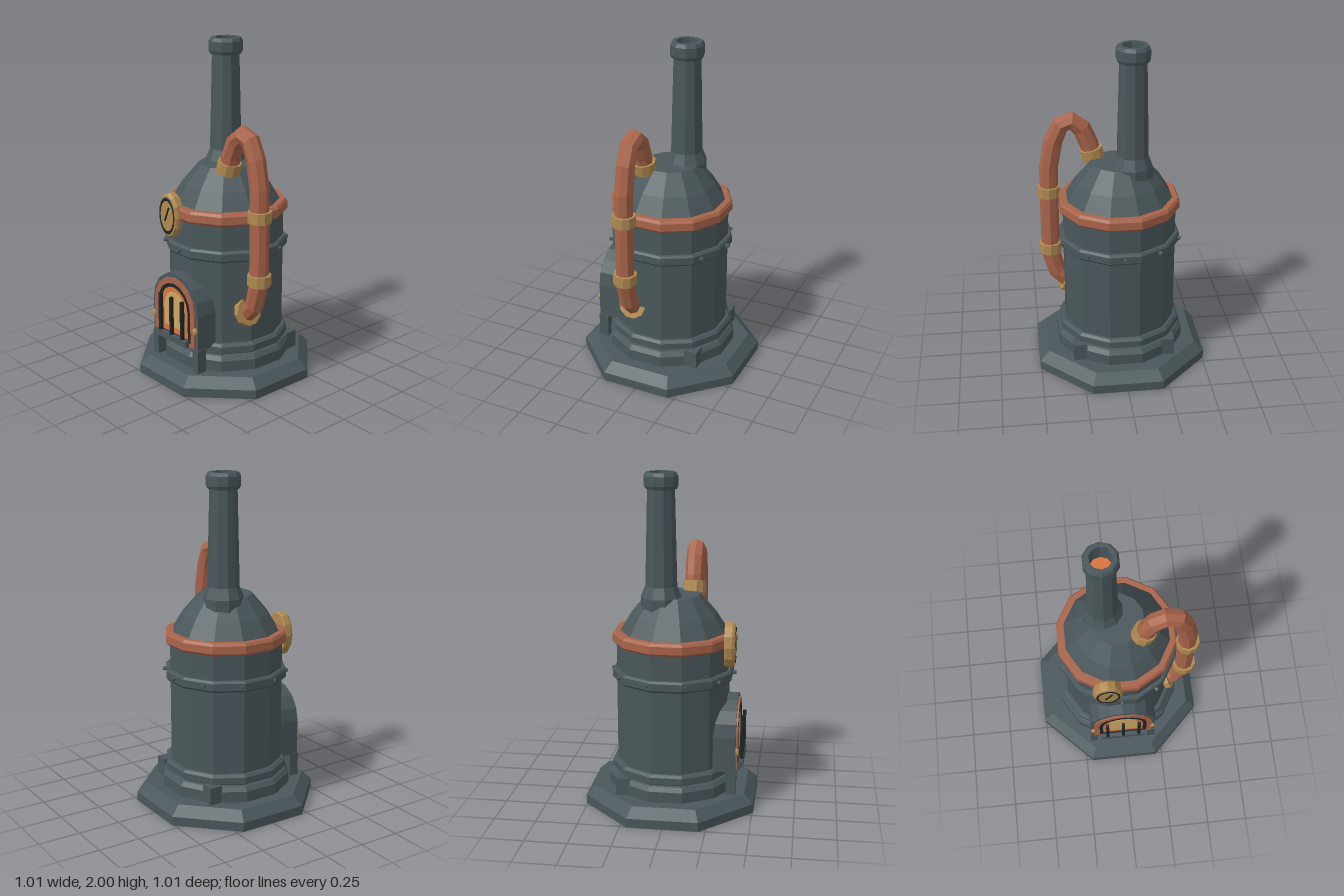
import * as THREE from 'three';

const mat = (name, color) => {
  const m = new THREE.MeshStandardMaterial({ color, flatShading: true });
  m.name = name;
  return m;
};

export function createModel() {
  const iron = mat('iron', 0x4a575b);
  const black = mat('black iron', 0x1d2628);
  const copper = mat('copper', 0xa9644a);
  const brass = mat('brass', 0xb08a50);
  const ember = mat('ember orange', 0xd8743e);
  const pale = mat('pale glow', 0xcfa866);

  const root = new THREE.Group();
  root.name = 'boilerStove';
  const add = (name, geo, material, x = 0, y = 0, z = 0, parent = root) => {
    const m = new THREE.Mesh(geo, material);
    m.name = name;
    m.position.set(x, y, z);
    parent.add(m);
    return m;
  };
  const box = (w, h, d) => new THREE.BoxGeometry(w, h, d);

  // Faceted turned shape, radii measured to the middle of the flats, flats facing the axes
  const turned = (pts, sides) => {
    const k = 1 / Math.cos(Math.PI / sides);
    return new THREE.LatheGeometry(pts.map(([r, y]) => new THREE.Vector2(r * k, y)), sides, Math.PI / sides);
  };

  // Octagonal base and stepped boiler
  add('base', turned([[0, 0], [0.507, 0], [0.507, 0.055], [0.45, 0.11], [0, 0.11]], 8), iron);
  add('plinth', turned([[0.38, 0.1], [0.38, 0.175], [0.36, 0.2], [0.345, 0.205], [0.36, 0.215],
    [0.36, 0.255], [0.345, 0.27], [0.32, 0.27]], 12), iron);
  add('boilerBody', turned([[0.33, 0.2], [0.33, 1.02]], 12), iron);
  add('boilerBand', turned([[0.325, 0.775], [0.345, 0.775], [0.355, 0.787], [0.355, 0.83], [0.345, 0.842], [0.325, 0.842]], 12), iron);
  add('copperRing', turned([[0.32, 0.992], [0.342, 0.992], [0.353, 1.005], [0.353, 1.05], [0.342, 1.066], [0.3, 1.066]], 12), copper);
  add('dome', turned([[0.315, 1.055], [0.25, 1.165], [0.155, 1.28], [0, 1.28]], 12), iron);

  // Rivets around the band
  for (let i = 0; i < 10; i++) {
    const a = i * Math.PI / 5;
    const rivet = add('rivet', new THREE.CylinderGeometry(0.011, 0.014, 0.03, 6), iron,
      Math.sin(a) * 0.362, 0.81, Math.cos(a) * 0.362);
    rivet.rotation.set(Math.PI / 2, 0, -a);
  }

  // Back feet
  for (const s of [-1, 1]) add('backFoot', box(0.08, 0.11, 0.08), iron, s * 0.265, 0.16, -0.265);

  // Chimney with hollow cap
  const chimney = new THREE.Group();
  chimney.name = 'chimney';
  chimney.position.set(-0.075, 0, -0.063);
  root.add(chimney);
  const round = (pts) => new THREE.LatheGeometry(pts.map((p) => new THREE.Vector2(...p)), 10);
  add('chimneyShaft', round([[0.12, 1.12], [0.12, 1.28], [0.094, 1.345], [0.08, 1.92]]), iron, 0, 0, 0, chimney);
  add('chimneyCap', round([[0.078, 1.905], [0.09, 1.905], [0.1, 1.925], [0.1, 1.98], [0.088, 2],
    [0.063, 2], [0.063, 1.87]]), iron, 0, 0, 0, chimney);
  add('chimneyGlow', new THREE.CylinderGeometry(0.066, 0.066, 0.008, 10), ember, 0, 1.872, 0, chimney);

  // Bent steam pipe, with one ring of facets at each listed point
  const path = [[0.14, 1.26], [0.165, 1.36], [0.205, 1.455], [0.265, 1.505], [0.33, 1.48], [0.375, 1.38],
    [0.405, 1.22], [0.408, 1.06], [0.408, 0.65], [0.37, 0.51], [0.3, 0.44]];
  const pipeZ = 0.105;
  const curve = new THREE.CatmullRomCurve3(path.map(([x, y]) => new THREE.Vector3(x, y, pipeZ)), false, 'centripetal');
  curve.getPointAt = (t, v) => curve.getPoint(t, v);
  curve.getTangentAt = (t, v) => curve.getTangent(t, v);
  add('steamPipe', new THREE.TubeGeometry(curve, path.length - 1, 0.056, 8), copper);

  // Brass collars: x, y, radius, length, axis
  const up = new THREE.Vector3(0, 1, 0);
  for (const [x, y, r, h, dx, dy] of [
    [0.145, 1.295, 0.07, 0.07, 0.25, 1],
    [0.41, 1.063, 0.07, 0.065, 0, 1],
    [0.41, 0.685, 0.07, 0.065, 0, 1],
    [0.313, 0.46, 0.088, 0.035, 1, 0.35],
  ]) {
    const c = add('pipeCollar', new THREE.CylinderGeometry(r, r, h, 10), brass, x, y, pipeZ);
    c.quaternion.setFromUnitVectors(up, new THREE.Vector3(dx, dy, 0).normalize());
  }

  // Oval pressure gauge
  const gauge = new THREE.Group();
  gauge.name = 'gauge';
  gauge.position.set(-0.087, 1.003, 0.315);
  root.add(gauge);
  const oval = (geo) => geo.scale(0.088, 0.137, 1);
  const rim = new THREE.LatheGeometry([[0, 0], [0.96, 0], [1, 0.01], [1, 0.045], [0.9, 0.06], [0, 0.06]]
    .map((p) => new THREE.Vector2(...p)), 12).rotateX(Math.PI / 2);
  add('gaugeRim', oval(rim), brass, 0, 0, 0, gauge);
  add('gaugeRing', oval(new THREE.RingGeometry(0.67, 0.82, 16)), black, 0, 0, 0.064, gauge);
  add('gaugeFace', oval(new THREE.CircleGeometry(0.69, 16)), brass, 0, 0, 0.063, gauge);
  add('gaugeNeedle', box(0.009, 0.095, 0.005), black, 0.003, 0.012, 0.067, gauge).rotation.z = -0.42;

  // Firebox: arched housing, frame, glow and grate
  const firebox = new THREE.Group();
  firebox.name = 'firebox';
  root.add(firebox);
  const spring = 0.465;
  const archPoints = (half, bottom) => {
    const pts = [new THREE.Vector2(-half, bottom), new THREE.Vector2(half, bottom)];
    for (let i = 0; i <= 8; i++) {
      const a = i * Math.PI / 8;
      pts.push(new THREE.Vector2(Math.cos(a) * half, spring + Math.sin(a) * half));
    }
    return pts;
  };
  const arch = (half, bottom, depth, innerHalf, innerBottom) => {
    const s = new THREE.Shape(archPoints(half, bottom));
    if (innerHalf) s.holes.push(new THREE.Path(archPoints(innerHalf, innerBottom)));
    return new THREE.ExtrudeGeometry(s, { depth, bevelEnabled: false });
  };
  add('fireboxHousing', arch(0.208, 0.25, 0.195), iron, 0, 0, 0.2, firebox);
  add('copperFrame', arch(0.185, 0.26, 0.01, 0.148, 0.285), copper, 0, 0, 0.395, firebox);
  add('fireGlow', arch(0.15, 0.28, 0.004), ember, 0, 0, 0.394, firebox);
  add('fireCore', arch(0.095, 0.335, 0.004), pale, 0, 0, 0.397, firebox);
  add('grateArch', arch(0.15, 0.285, 0.007, 0.128, 0.297), black, 0, 0, 0.399, firebox);
  add('grateSill', box(0.285, 0.04, 0.026), iron, 0, 0.28, 0.423, firebox);
  for (const x of [-0.1, 0, 0.1]) add('grateBar', box(0.018, 0.275, 0.02), black, x, 0.398, 0.425, firebox);
  for (const s of [-1, 1]) {
    add('latch', new THREE.SphereGeometry(0.018, 8, 6).scale(1, 1.35, 0.8), brass, s * 0.19, 0.372, 0.402, firebox);
    add('frontLeg', box(0.048, 0.15, 0.06), iron, s * 0.188, 0.18, 0.37, firebox);
  }
  return root;
}
